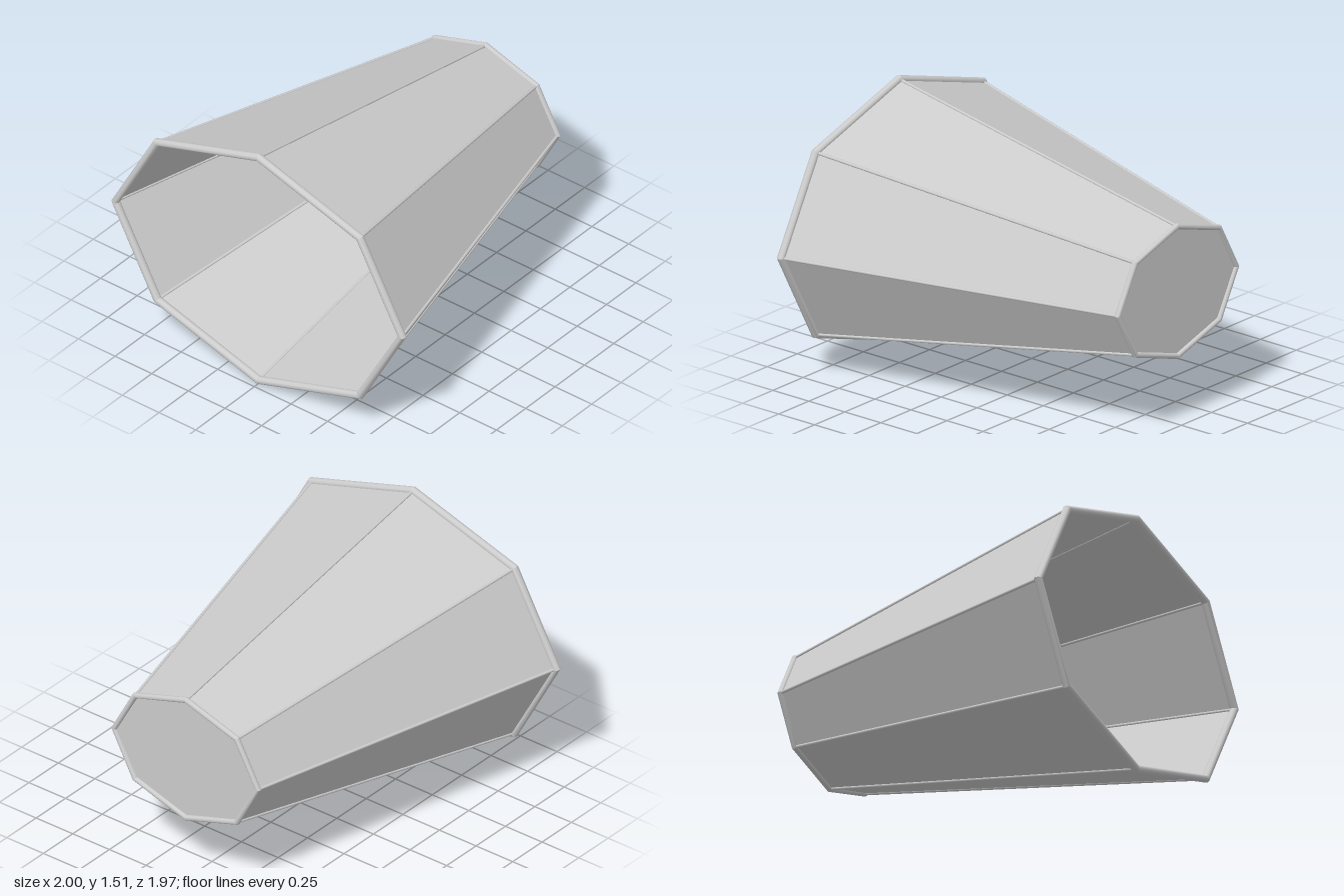
import * as THREE from 'three';
import { toCreasedNormals } from 'three/addons/utils/BufferGeometryUtils.js';

const SIDES = 8;
const CENTER_Y = 0.757;
const FRONT = { rx: 0.977, ry: 0.734, z: 0.962, r: 0.023 };
const BACK = { rx: 0.49, ry: 0.37, z: -0.969, r: 0.017 };

// Corner of an eight-sided stretched outline
function corner(end, i) {
  const a = (i / SIDES) * Math.PI * 2;
  return new THREE.Vector3(end.rx * Math.cos(a), end.ry * Math.sin(a), end.z);
}

// Eight-sided round-section ring with mitred corners
function rimGeometry(end) {
  const around = 16;
  const geo = new THREE.TorusGeometry(1, end.r, around, SIDES);
  const pos = geo.attributes.position;
  for (let j = 0, k = 0; j <= around; j++) {
    const v = (j / around) * Math.PI * 2;
    for (let i = 0; i <= SIDES; i++, k++) {
      const u = (i / SIDES) * Math.PI * 2;
      const out = end.r * Math.cos(v);
      pos.setXYZ(k, (end.rx + out) * Math.cos(u), (end.ry + out) * Math.sin(u), end.z + end.r * Math.sin(v));
    }
  }
  return toCreasedNormals(geo, 0.45);
}

export function createModel() {
  const model = new THREE.Group();
  const metal = new THREE.MeshStandardMaterial({ color: 0xcccccc });
  const panel = new THREE.MeshStandardMaterial({ color: 0xcccccc, flatShading: true, side: THREE.DoubleSide });
  const add = (name, geo, mat) => {
    const mesh = new THREE.Mesh(geo, mat);
    mesh.name = name;
    model.add(mesh);
    return mesh;
  };

  // Tapered side panels, open at the front
  const walls = new THREE.CylinderGeometry(FRONT.rx, BACK.rx, FRONT.z - BACK.z, SIDES, 1, true);
  walls.rotateX(Math.PI / 2);
  walls.scale(1, FRONT.ry / FRONT.rx, 1);
  walls.translate(0, 0, (FRONT.z + BACK.z) / 2);
  add('sidePanels', walls, panel);

  // Flat panel closing the narrow end
  const back = new THREE.CircleGeometry(1, SIDES);
  back.rotateY(Math.PI);
  back.scale(BACK.rx, BACK.ry, 1);
  back.translate(0, 0, BACK.z);
  add('backPanel', back, panel);

  // Rims at both ends
  add('frontRim', rimGeometry(FRONT), metal);
  add('backRim', rimGeometry(BACK), metal);

  // Seam rods along the panel joints
  for (let i = 0; i < SIDES; i++) {
    const a = corner(FRONT, i);
    const b = corner(BACK, i);
    const rod = add('seamRod', new THREE.CylinderGeometry(0.009, 0.009, a.distanceTo(b), 10), metal);
    rod.position.copy(a).add(b).multiplyScalar(0.5);
    rod.quaternion.setFromUnitVectors(new THREE.Vector3(0, 1, 0), a.clone().sub(b).normalize());
  }

  model.position.y = CENTER_Y;
  const root = new THREE.Group();
  root.add(model);
  return root;
}
